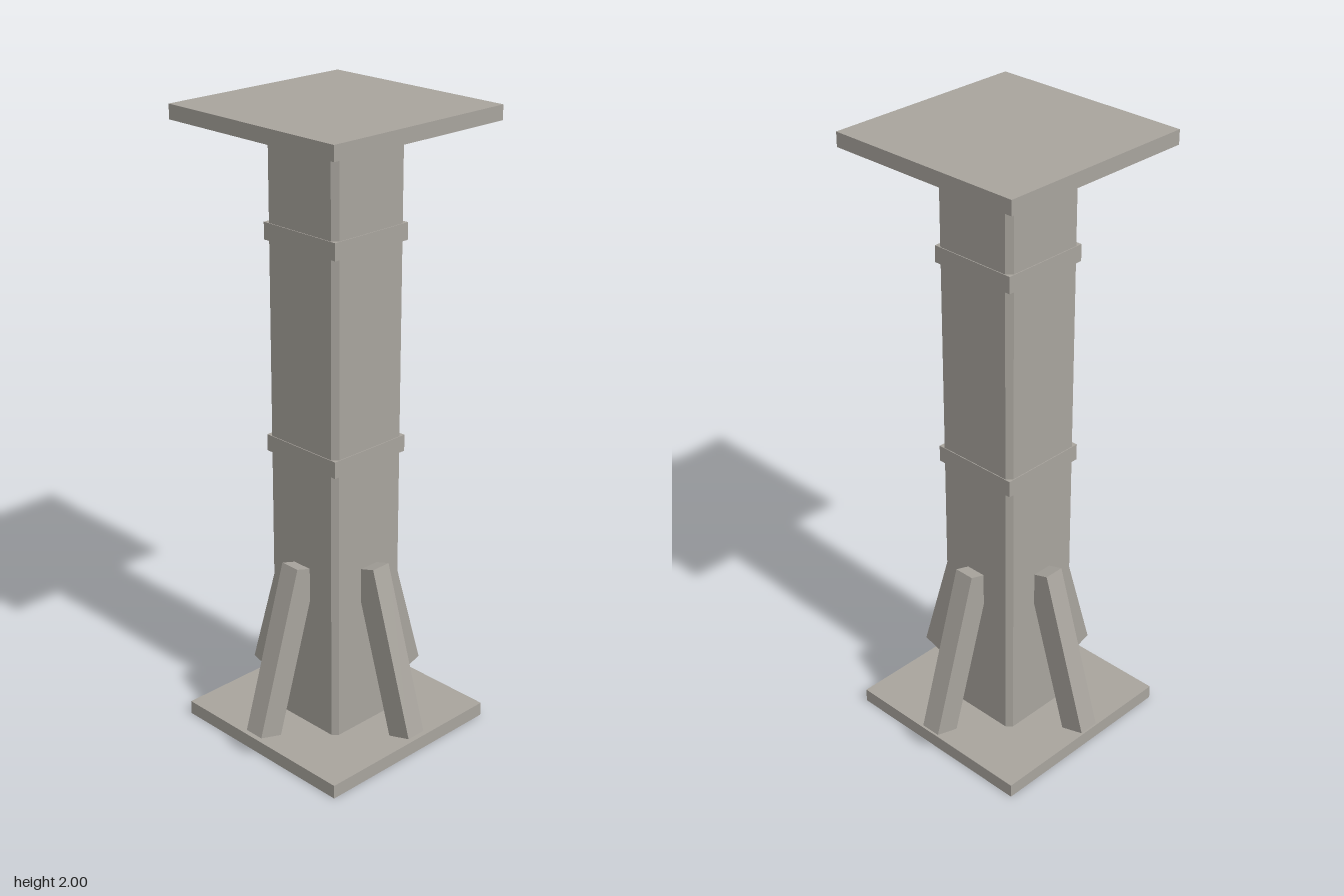
import * as THREE from 'three';

export function createModel() {
  const group = new THREE.Group();
  const stone = new THREE.MeshStandardMaterial({ color: 0xa8a49d });
  stone.name = 'warmGrey';

  function box(name, w, h, d, y, parent = group) {
    const mesh = new THREE.Mesh(new THREE.BoxGeometry(w, h, d), stone);
    mesh.name = name;
    mesh.position.y = y;
    parent.add(mesh);
    return mesh;
  }

  // Square end plates
  const plate = 0.664, thick = 0.045;
  box('basePlate', plate, thick, plate, thick / 2);
  box('topPlate', plate, thick, plate, 2 - thick / 2);

  // Square shaft with chamfered corners
  const h = 0.1445, c = h - 0.017;
  const outline = new THREE.Shape([
    [h, -c], [h, c], [c, h], [-c, h], [-h, c], [-h, -c], [-c, -h], [c, -h],
  ].map(([x, y]) => new THREE.Vector2(x, y)));
  const shaftGeometry = new THREE.ExtrudeGeometry(outline, { depth: 2 - 2 * thick, bevelEnabled: false });
  shaftGeometry.rotateX(-Math.PI / 2);
  const shaft = new THREE.Mesh(shaftGeometry, stone);
  shaft.name = 'shaft';
  shaft.position.y = thick;
  group.add(shaft);

  // Sharp-cornered bands, barely proud of the shaft
  box('lowerBand', 0.294, 0.053, 0.294, 0.964);
  box('upperBand', 0.294, 0.053, 0.294, 1.631);

  // Four braces leaning in against the shaft
  for (let i = 0; i < 4; i++) {
    const side = new THREE.Group();
    side.name = 'brace' + (i + 1);
    side.rotation.y = i * Math.PI / 2;
    const beam = box('braceBeam', 0.086, 0.552, 0.067, 0.336, side);
    beam.position.x = 0.2345;
    beam.rotation.z = THREE.MathUtils.degToRad(16.8);
    group.add(side);
  }

  return group;
}
